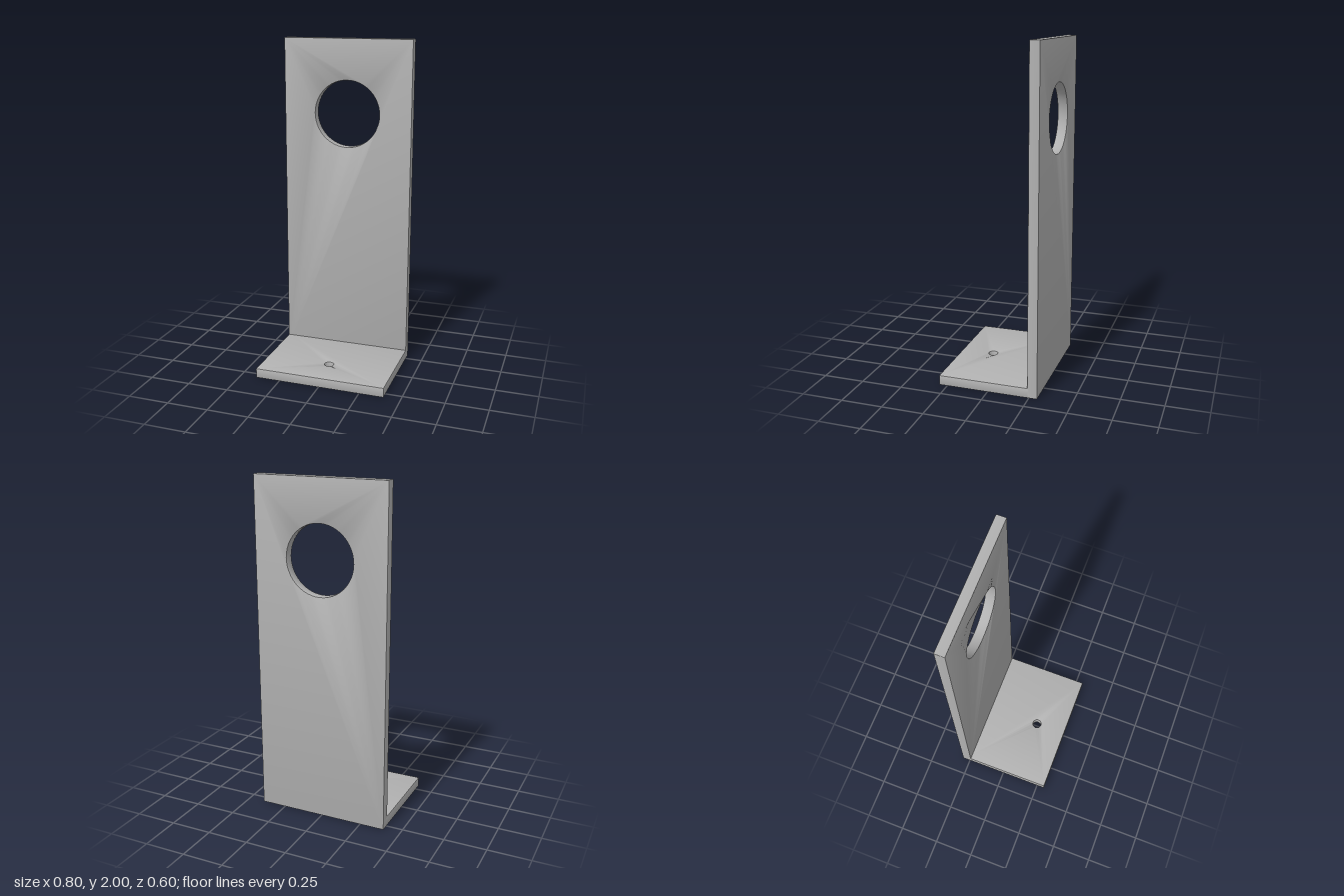
import * as THREE from 'three';
import { toCreasedNormals } from 'three/addons/utils/BufferGeometryUtils.js';

const THICK = 0.06, EASE = 0.005;

// Flat plate with softly eased edges and one round hole, thickness along +z
function plate(x0, y0, x1, y1, holeY, holeR) {
  const r = EASE;
  const s = new THREE.Shape();
  s.moveTo(x0 + r, y0);
  s.lineTo(x1 - r, y0);
  s.quadraticCurveTo(x1, y0, x1, y0 + r);
  s.lineTo(x1, y1 - r);
  s.quadraticCurveTo(x1, y1, x1 - r, y1);
  s.lineTo(x0 + r, y1);
  s.quadraticCurveTo(x0, y1, x0, y1 - r);
  s.lineTo(x0, y0 + r);
  s.quadraticCurveTo(x0, y0, x0 + r, y0);
  const hole = new THREE.Path();
  hole.absarc(0, holeY, holeR, 0, Math.PI * 2, true);
  s.holes.push(hole);
  const g = new THREE.ExtrudeGeometry(s, {
    depth: THICK - 2 * EASE, curveSegments: 24,
    bevelEnabled: true, bevelThickness: EASE, bevelSize: EASE,
    bevelOffset: -EASE, bevelSegments: 2,
  });
  g.translate(0, 0, EASE);
  return toCreasedNormals(g, Math.PI / 7);
}

export function createModel() {
  const group = new THREE.Group();
  group.name = 'angleBracket';
  const metal = new THREE.MeshStandardMaterial({ color: 0xb2b2b2 });
  metal.name = 'grey metal';

  // Tall back plate with the large round opening
  const upright = new THREE.Mesh(plate(-0.4, 0, 0.4, 2, 1.55, 0.203), metal);
  upright.name = 'uprightPlate';
  upright.position.z = -0.3;

  // Foot plate with the screw hole, its rear edge set into the upright
  const base = new THREE.Mesh(plate(-0.4, -0.3, 0.4, 0.27, -0.1, 0.028), metal);
  base.name = 'basePlate';
  base.rotation.x = -Math.PI / 2;

  group.add(upright, base);
  return group;
}
